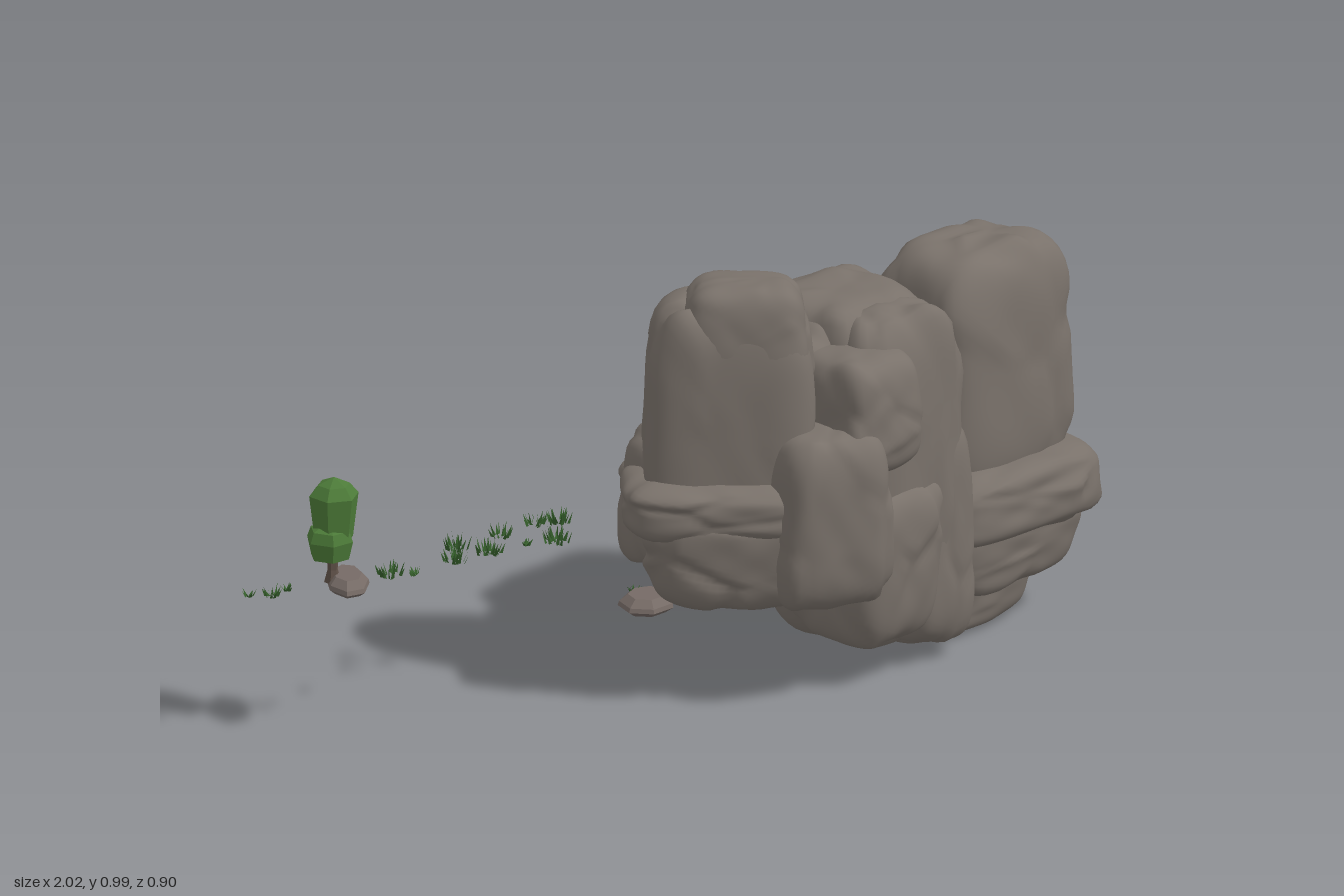
import * as THREE from 'three';
import { mergeVertices } from 'three/addons/utils/BufferGeometryUtils.js';

const material = (name, color, side = THREE.FrontSide) =>
  Object.assign(new THREE.MeshStandardMaterial({ color, side }), { name });

// Small seeded random generator
function seeded(seed) {
  let s = seed * 7919 + 17;
  return () => {
    s = (s * 16807) % 2147483647;
    return s / 2147483647;
  };
}

// Rounded block whose surface is broken into lumps separated by soft grooves
function boulderGeometry([hx, hy, hz], taper, seed) {
  const rand = seeded(seed);
  for (let i = 0; i < 5; i++) rand();
  const lumps = Array.from({ length: 26 }, () => {
    const y = rand() * 2 - 1, a = rand() * Math.PI * 2, r = Math.sqrt(1 - y * y);
    return { dir: new THREE.Vector3(r * Math.cos(a), y, r * Math.sin(a)), depth: rand() };
  });
  let geo = new THREE.IcosahedronGeometry(1, 14);
  geo.deleteAttribute('uv');
  geo.deleteAttribute('normal');
  geo = mergeVertices(geo, 1e-4);
  const pos = geo.attributes.position, v = new THREE.Vector3();
  const k = 4.5;
  for (let i = 0; i < pos.count; i++) {
    v.fromBufferAttribute(pos, i).normalize();
    let first = -2, second = -2, depth = 0;
    for (const l of lumps) {
      const d = l.dir.dot(v);
      if (d > first) { second = first; first = d; depth = l.depth; }
      else if (d > second) second = d;
    }
    const g = THREE.MathUtils.smoothstep(first - second, 0, 0.15);
    const block = (Math.abs(v.x) ** k + Math.abs(v.y) ** k + Math.abs(v.z) ** k) ** (-1 / k);
    const ripple = 0.012 * Math.sin(v.x * 9 + seed) * Math.sin(v.y * 8 + seed * 2) * Math.sin(v.z * 7 + 1);
    const r = 1.035 * block * (1 - 0.1 * (depth * 0.8 * g + 0.8 * (1 - g)) + ripple);
    const t = 1 - taper * v.y * r;
    pos.setXYZ(i, v.x * r * t * hx, v.y * r * hy, v.z * r * t * hz);
  }
  geo.computeVertexNormals();
  return geo;
}

// Faceted solid of revolution
function facetedLathe(points, sides) {
  const geo = new THREE.LatheGeometry(points.map(p => new THREE.Vector2(...p)), sides).toNonIndexed();
  geo.computeVertexNormals();
  return geo;
}

// Tuft of thin leaning triangular blades
function tuftGeometry(radius, height, count, seed) {
  const rand = seeded(seed);
  const corners = [];
  for (let i = 0; i < count; i++) {
    const a = rand() * Math.PI * 2, d = radius * Math.sqrt(rand());
    const x = Math.cos(a) * d, z = Math.sin(a) * d, w = 0.004;
    const b = rand() * Math.PI, lean = 0.01, h = height * (0.55 + 0.45 * rand());
    corners.push(
      x - Math.cos(b) * w, 0, z - Math.sin(b) * w,
      x + Math.cos(b) * w, 0, z + Math.sin(b) * w,
      x + Math.cos(a) * lean, h, z + Math.sin(a) * lean);
  }
  const geo = new THREE.BufferGeometry();
  geo.setAttribute('position', new THREE.Float32BufferAttribute(corners, 3));
  geo.computeVertexNormals();
  return geo;
}

export function createModel() {
  const rock = material('rock', 0x79716a);
  const stone = material('stone', 0x756a65);
  const bark = material('bark', 0x5e5047);
  const leaf = material('leaf', 0x4c7a38);
  const grass = material('grass', 0x355f2b, THREE.DoubleSide);

  const model = new THREE.Group();
  model.name = 'rockLandscape';
  const add = (parent, name, geo, mat, x, y, z, turn = 0) => {
    const mesh = new THREE.Mesh(geo, mat);
    mesh.name = name;
    mesh.position.set(x, y, z);
    mesh.rotation.y = turn;
    parent.add(mesh);
    return mesh;
  };

  // Cliff: name, centre, half sizes, taper towards the top, turn
  const cliff = new THREE.Group();
  cliff.name = 'cliff';
  model.add(cliff);
  const skew = -0.75;
  [
    ['tallPillar', [0.01, 0.64, 0.1], [0.2, 0.31, 0.13], 0.05, skew],
    ['tallPillarCap', [0.035, 0.86, 0.125], [0.15, 0.14, 0.115], 0.12, skew],
    ['tallPillarLedge', [-0.03, 0.475, 0.1], [0.22, 0.07, 0.165], 0, skew],
    ['tallPillarFoot', [0.0, 0.36, 0.13], [0.21, 0.13, 0.15], -0.08, skew],
    ['tallPillarBackLobe', [-0.01, 0.45, -0.02], [0.13, 0.17, 0.11]],
    ['innerColumn', [0.22, 0.52, 0.12], [0.12, 0.33, 0.15]],
    ['frontBulge', [0.13, 0.45, 0.27], [0.14, 0.22, 0.16], 0.03, -0.4],
    ['frontUpperBoulder', [0.24, 0.67, 0.26], [0.125, 0.15, 0.15]],
    ['frontLowerBoulder', [0.3, 0.29, 0.24], [0.14, 0.2, 0.16], -0.05],
    ['middleColumn', [0.37, 0.51, 0.1], [0.2, 0.39, 0.2]],
    ['middleFrontColumn', [0.38, 0.51, 0.21], [0.17, 0.37, 0.16]],
    ['middleBackLobe', [0.45, 0.49, -0.01], [0.23, 0.36, 0.14], 0.12],
    ['middleFrontSlab', [0.46, 0.32, 0.24], [0.1, 0.28, 0.13]],
    ['middleBase', [0.46, 0.18, 0.11], [0.22, 0.16, 0.2], -0.2],
    ['backBase', [0.55, 0.28, -0.03], [0.18, 0.2, 0.12], -0.15],
    ['endPillar', [0.745, 0.62, 0.15], [0.21, 0.3, 0.16]],
    ['endPillarBackLobe', [0.81, 0.5, 0.05], [0.13, 0.28, 0.1], 0.1],
    ['endBand', [0.74, 0.33, 0.175], [0.26, 0.09, 0.21]],
    ['endFoot', [0.73, 0.2, 0.16], [0.23, 0.1, 0.18], -0.08],
    ['endBase', [0.62, 0.095, 0.13], [0.23, 0.09, 0.16], -0.1],
  ].forEach(([name, centre, size, taper = 0.05, turn = 0], i) =>
    add(cliff, name, boulderGeometry(size, taper, i + 3), rock, ...centre, turn));

  // Flat faceted stones: centre, half sizes, turn
  const stoneGeo = facetedLathe([[0, -1], [0.7, -1], [1, -0.3], [0.95, 0.2], [0.65, 1], [0, 1]], 7);
  [
    ['treeStone', [-0.8, 0.37, -0.31], [0.085, 0.02, 0.05], 0.9],
    ['flatStone', [0.14, 0.07, -0.29], [0.072, 0.02, 0.065], 0.4],
    ['pebble', [0.58, 0.075, -0.405], [0.016, 0.004, 0.014], 0],
    ['pebble', [0.545, 0.075, -0.315], [0.024, 0.008, 0.022], 0.5],
    ['pebble', [0.635, 0.075, -0.275], [0.034, 0.012, 0.03], 1.1],
    ['pebble', [0.61, 0.08, -0.04], [0.034, 0.012, 0.034], 0.2],
    ['pebble', [0.646, 0.085, -0.125], [0.034, 0.015, 0.034], 0.8],
  ].forEach(([name, centre, size, turn]) =>
    add(model, name, stoneGeo, stone, ...centre, turn).scale.set(...size));

  // Tree
  const tree = new THREE.Group();
  tree.name = 'tree';
  tree.position.set(-0.825, 0, -0.333);
  model.add(tree);
  add(tree, 'trunk', facetedLathe([[0, 0.37], [0.02, 0.37], [0.012, 0.4], [0.014, 0.45], [0, 0.45]], 6), bark, 0, 0, 0);
  add(tree, 'upperCrown', facetedLathe([[0, 0.46], [0.045, 0.475], [0.058, 0.58], [0.037, 0.605], [0, 0.622]], 6), leaf, 0.004, 0, 0);
  add(tree, 'lowerCrown', facetedLathe([[0, 0.43], [0.046, 0.432], [0.056, 0.475], [0.047, 0.5], [0, 0.52]], 6), leaf, -0.008, 0, 0, 0.4);

  // Grass tufts: x, y, z, radius
  [
    [-0.99, 0.35, -0.435, 0.008], [-0.95, 0.35, -0.4, 0.016], [-0.885, 0.34, -0.42, 0.007],
    [-0.715, 0.375, -0.257, 0.027], [-0.6, 0.335, -0.29, 0.01],
    [-0.44, 0.315, -0.325, 0.027], [-0.38, 0.315, -0.38, 0.028], [-0.35, 0.315, -0.305, 0.028],
    [-0.255, 0.315, -0.362, 0.022], [-0.245, 0.31, -0.29, 0.006], [-0.18, 0.31, -0.26, 0.028],
    [-0.14, 0.31, -0.37, 0.022], [-0.09, 0.31, -0.342, 0.026], [0.24, 0.026, -0.43, 0.008],
  ].forEach(([x, y, z, r], i) =>
    add(model, 'grassTuft', tuftGeometry(r, 0.012 + r * 0.8, 6 + Math.round(r * 700), i + 5), grass, x, y, z));

  return model;
}
